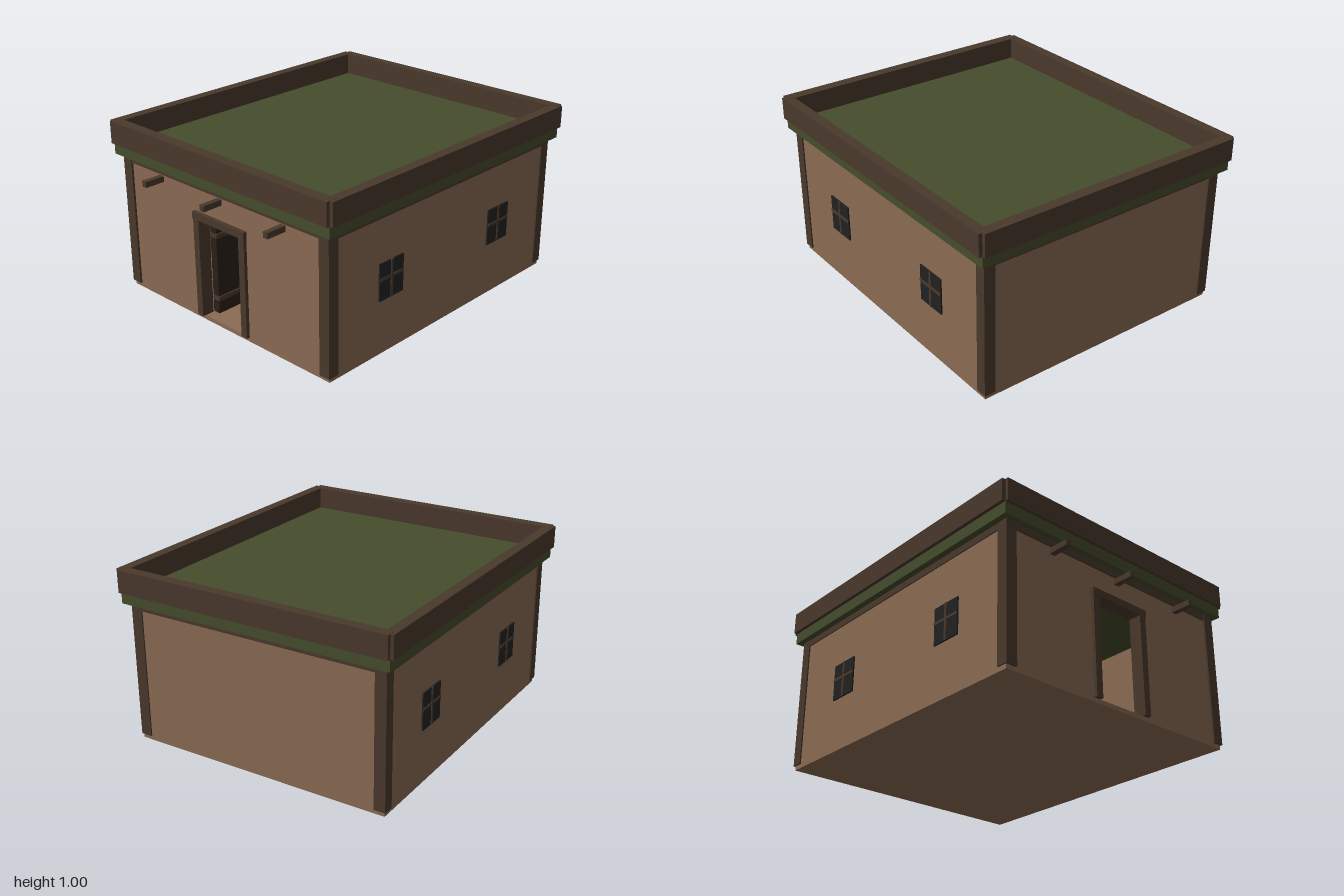
import * as THREE from 'three';

const mat = (name, color) => {
  const m = new THREE.MeshStandardMaterial({ color });
  m.name = name;
  return m;
};

export function createModel() {
  const house = new THREE.Group();
  house.name = 'house';
  const clay = mat('clay', 0x8b6c53);
  const wood = mat('dark wood', 0x4a392c);
  const turf = mat('green roof', 0x464d2c);
  const pane = mat('window pane', 0x222222);
  const doorWood = mat('door wood', 0x2b201a);

  // Box given by its minimum and maximum along each axis
  const box = (name, m, x0, x1, y0, y1, z0, z1, parent = house) => {
    const mesh = new THREE.Mesh(new THREE.BoxGeometry(x1 - x0, y1 - y0, z1 - z0), m);
    mesh.position.set((x0 + x1) / 2, (y0 + y1) / 2, (z0 + z1) / 2);
    mesh.name = name;
    parent.add(mesh);
    return mesh;
  };

  const W = 0.778, F = 0.88, B = -0.938, T = 0.05, Y0 = 0.025, Y1 = 0.81;

  // Floor slab and plain walls
  box('floor', clay, -W, W, 0, Y0, B, F);
  box('backWall', clay, -W, W, Y0, Y1, B, B + T);
  for (const s of [-1, 1]) {
    const c = s * (W - T / 2);
    box('sideWall', clay, c - T / 2, c + T / 2, Y0, Y1, B + T, F - T);
  }

  // Front wall with a doorway notch
  const wall = new THREE.Shape([
    [-W, Y0], [-0.175, Y0], [-0.175, 0.62], [0.175, 0.62],
    [0.175, Y0], [W, Y0], [W, Y1], [-W, Y1],
  ].map(([x, y]) => new THREE.Vector2(x, y)));
  const frontWall = new THREE.Mesh(
    new THREE.ExtrudeGeometry(wall, { depth: T, bevelEnabled: false }), clay);
  frontWall.position.z = F - T;
  frontWall.name = 'frontWall';
  house.add(frontWall);

  // Corner posts
  for (const s of [-1, 1]) {
    const x0 = s > 0 ? 0.72 : -0.786, x1 = s > 0 ? 0.786 : -0.72;
    box('cornerPost', wood, x0, x1, Y0, Y1, 0.825, 0.892);
    box('cornerPost', wood, x0, x1, Y0, Y1, -0.946, -0.882);
  }

  // Top beams around the walls
  box('frontBeam', wood, -0.72, 0.72, 0.772, Y1, 0.84, 0.888);
  box('backBeam', wood, -0.72, 0.72, 0.772, Y1, -0.943, -0.895);
  for (const s of [-1, 1]) {
    box('sideBeam', wood, s * 0.76 - 0.024, s * 0.76 + 0.024, 0.772, Y1, -0.882, 0.825);
  }

  // Roof slab and raised rim
  box('roof', turf, -0.82, 0.82, Y1, 0.876, -0.98, 0.922);
  box('frontRim', wood, -0.82, 0.82, 0.876, 1.005, 0.875, 0.941);
  box('backRim', wood, -0.82, 0.82, 0.876, 1.005, -1, -0.94);
  for (const s of [-1, 1]) {
    box('sideRim', wood, s * 0.81 - 0.03, s * 0.81 + 0.03, 0.876, 1.0035, -0.98, 0.921);
  }

  // Projecting roof poles
  for (const x of [-0.468, 0, 0.468]) {
    box('roofPole', wood, x - 0.016, x + 0.016, 0.73, 0.763, 0.86, 1);
  }

  // Door frame
  for (const s of [-1, 1]) {
    box('doorJamb', wood, s * 0.176 - 0.021, s * 0.176 + 0.021, Y0, 0.6, 0.825, 0.9);
  }
  box('doorLintel', wood, -0.2, 0.2, 0.6, 0.641, 0.825, 0.903);

  // Door standing open into the room
  const door = new THREE.Group();
  door.name = 'openDoor';
  house.add(door);
  box('doorPanel', doorWood, -0.15, -0.105, 0.032, 0.585, 0.53, 0.825, door);
  for (const y of [0.122, 0.497]) {
    box('doorBatten', wood, -0.145, -0.097, y - 0.013, y + 0.013, 0.545, 0.828, door);
  }

  // Windows with crossed bars on both sides
  for (const s of [-1, 1]) {
    for (const z of [0.43, -0.483]) {
      const win = new THREE.Group();
      win.name = 'window';
      house.add(win);
      const at = (name, m, x, w, y0, y1, hz) =>
        box(name, m, s * x - w / 2, s * x + w / 2, y0, y1, z - hz, z + hz, win);
      at('windowPane', pane, 0.782, 0.009, 0.313, 0.525, 0.092);
      at('windowBarUpright', wood, 0.786, 0.009, 0.313, 0.525, 0.008);
      at('windowBarCross', wood, 0.786, 0.0092, 0.426, 0.442, 0.092);
    }
  }

  // Table and chest inside
  const table = new THREE.Group();
  table.name = 'table';
  house.add(table);
  box('tableTop', wood, 0, 0.5, 0.21, 0.23, -0.35, 0, table);
  for (const x of [0.015, 0.463]) {
    for (const z of [-0.335, -0.037]) {
      box('tableLeg', wood, x, x + 0.022, Y0, 0.21, z, z + 0.022, table);
    }
  }
  box('chest', wood, -0.2, -0.02, Y0, 0.145, -0.3, -0.1);

  return house;
}
